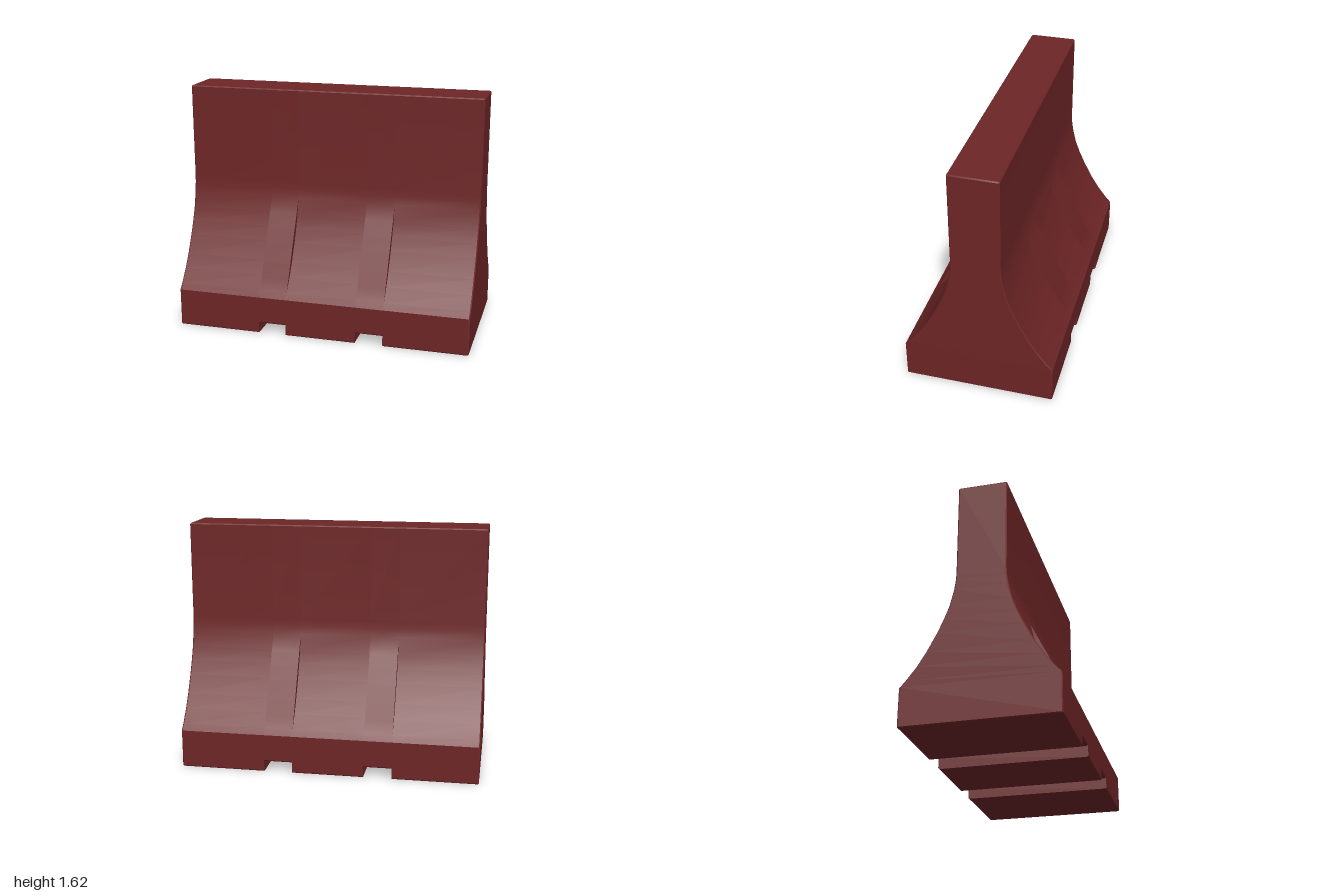
import * as THREE from 'three';
import { toCreasedNormals } from 'three/addons/utils/BufferGeometryUtils.js';

const H = 1.618, BEVEL = 0.007;

// Concave flank as [z, y], from the base ledge up to the wall
const FLANK = [[0.46, 0.292], [0.392, 0.38], [0.335, 0.47], [0.272, 0.59],
  [0.231, 0.68], [0.197, 0.77], [0.172, 0.875]];

// Closed cross-section: up the front, over the top, down the back
function section(bottom, ribbed, inset = 0) {
  const [z0, y0] = FLANK[0], [z1, y1] = FLANK[FLANK.length - 1];
  const flank = FLANK.map(([z, y]) =>
    [ribbed ? z0 + (z1 - z0) * (y - y0) / (y1 - y0) : z, y]);
  const half = [
    [0.495 - BEVEL, bottom], [0.495, bottom + BEVEL], [0.495, 0.255],
    ...flank,
    [0.163, 0.94], [0.16, 0.99], [0.16, H - BEVEL], [0.16 - BEVEL, H],
  ].map(([z, y]) => [z - inset, Math.min(Math.max(y, bottom + inset), H - inset)]);
  return [...half, ...half.slice().reverse().map(([z, y]) => [-z, y])];
}

// Loft along x; paired stations at one x make the rib sides and notch walls
function bodyGeometry() {
  const plain = section(0, false), ribbed = section(0.072, true);
  const end = section(0, false, BEVEL);
  const stations = [[-1, end], [-1 + BEVEL, plain]];
  for (const [a, b] of [[-0.43, -0.24], [0.24, 0.43]]) {
    stations.push([a, plain], [a, ribbed], [b, ribbed], [b, plain]);
  }
  stations.push([1 - BEVEL, plain], [1, end]);

  const positions = [];
  const point = (s, i) => {
    const [x, loop] = stations[s];
    return new THREE.Vector3(x, loop[i][1], loop[i][0]);
  };
  const triangle = (a, b, c) => {
    if (new THREE.Triangle(a, b, c).getArea() < 1e-8) return;
    for (const p of [a, b, c]) positions.push(p.x, p.y, p.z);
  };
  const quad = (a, b, c, d) => { triangle(a, b, c); triangle(a, c, d); };

  // Skin
  const n = plain.length, last = stations.length - 1;
  for (let s = 0; s < last; s++) {
    for (let i = 0; i < n; i++) {
      const j = (i + 1) % n;
      quad(point(s, i), point(s + 1, i), point(s + 1, j), point(s, j));
    }
  }
  // End caps
  for (let i = 0; i < n / 2 - 1; i++) {
    const k = n - 1 - i;
    quad(point(last, i), point(last, k), point(last, k - 1), point(last, i + 1));
    quad(point(0, i), point(0, i + 1), point(0, k - 1), point(0, k));
  }

  const geometry = new THREE.BufferGeometry();
  geometry.setAttribute('position', new THREE.Float32BufferAttribute(positions, 3));
  return toCreasedNormals(geometry, 0.6);
}

export function createModel() {
  const group = new THREE.Group();
  group.name = 'roadBarrier';
  const darkRed = new THREE.MeshStandardMaterial({ color: 0x6e2526 });
  darkRed.name = 'darkRed';
  const body = new THREE.Mesh(bodyGeometry(), darkRed);
  body.name = 'barrierBody';
  group.add(body);
  return group;
}
